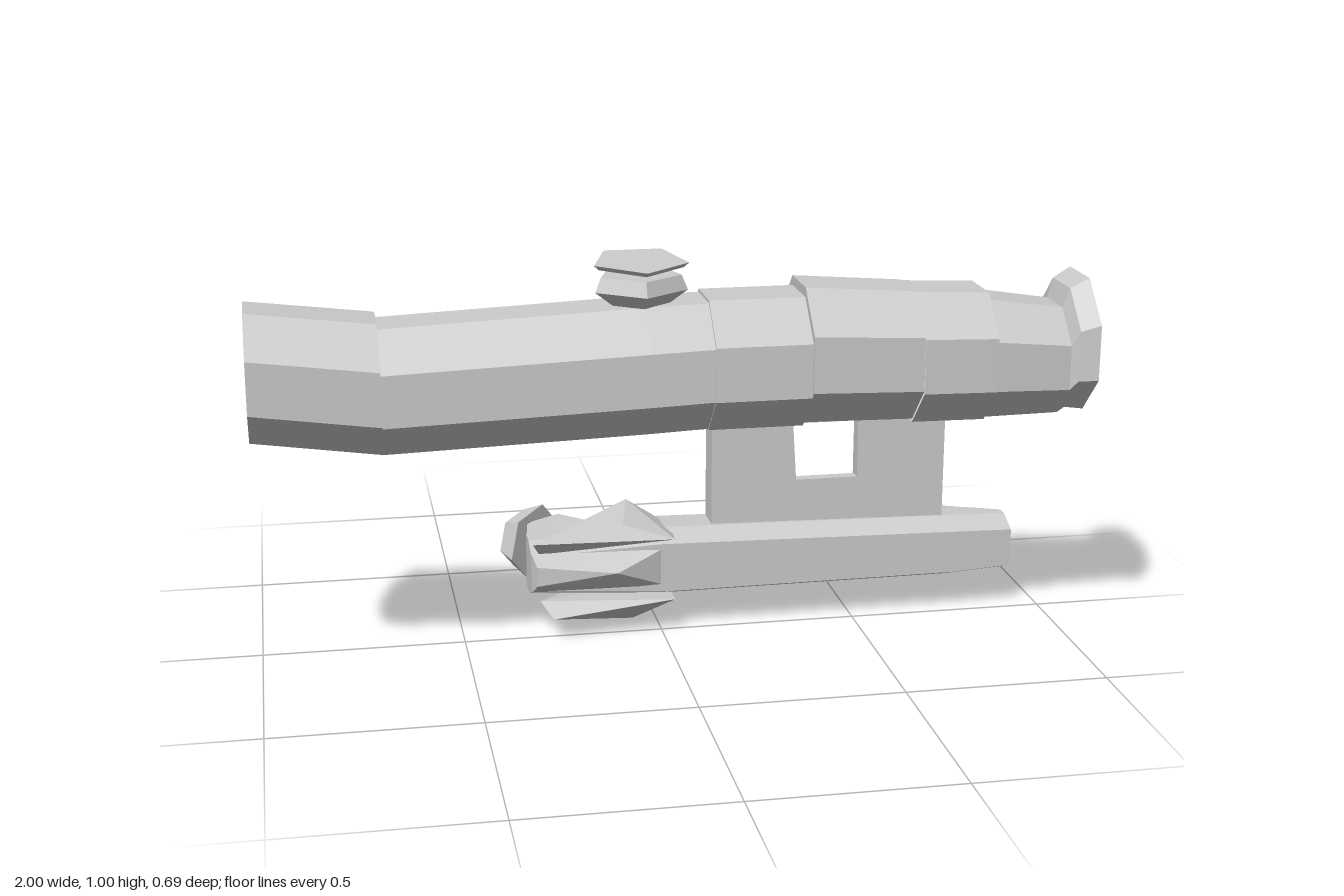
import * as THREE from 'three';
import { ConvexGeometry } from 'three/addons/geometries/ConvexGeometry.js';

const mat = new THREE.MeshStandardMaterial({ color: 0xcccccc, flatShading: true, side: THREE.DoubleSide });

export function createModel() {
  const group = new THREE.Group();

  const add = (name, geo) => {
    const mesh = new THREE.Mesh(geo, mat);
    mesh.name = name;
    group.add(mesh);
    return mesh;
  };
  const shapeOf = pts => new THREE.Shape(pts.map(p => new THREE.Vector2(p[0], p[1])));
  const extrude = (shape, depth) => new THREE.ExtrudeGeometry(shape, { depth, bevelEnabled: false });
  // [z, y] outline swept along x
  const alongX = (pts, x0, x1) =>
    extrude(shapeOf(pts.map(([z, y]) => [-z, y])), x1 - x0).rotateY(Math.PI / 2).translate(x0, 0, 0);
  const hull = pts => new ConvexGeometry(pts.map(p => new THREE.Vector3(...p)));

  // Open octagonal skin along x through sections [x, centreY, radius]
  const SIDES = 8, CZ = 0.176;
  const barrel = sections => {
    const pos = [], idx = [];
    for (const [x, cy, r] of sections) {
      for (let i = 0; i < SIDES; i++) {
        const a = (i + 0.5) / SIDES * Math.PI * 2;
        pos.push(x, cy + r * Math.cos(a), CZ + r * Math.sin(a));
      }
    }
    for (let s = 0; s < sections.length - 1; s++) {
      for (let i = 0; i < SIDES; i++) {
        const j = (i + 1) % SIDES;
        const a = s * SIDES + i, b = s * SIDES + j, c = a + SIDES, d = b + SIDES;
        idx.push(a, b, c, b, d, c);
      }
    }
    const geo = new THREE.BufferGeometry();
    geo.setAttribute('position', new THREE.Float32BufferAttribute(pos, 3));
    geo.setIndex(idx);
    const flat = geo.toNonIndexed();
    flat.computeVertexNormals();
    return flat;
  };

  // Sighting tube: objective, main tube, middle band, rear body, focus ring, neck, flared eyepiece
  add('objectiveBell', barrel([
    [-0.96, 0.77, 0.13], [-1, 0.77, 0.135], [-1, 0.77, 0.165], [-0.7, 0.73, 0.168], [-0.7, 0.723, 0.162],
  ]));
  add('mainTube', barrel([[-0.7, 0.723, 0.162], [-0.08, 0.745, 0.166], [0.07, 0.75, 0.165]]));
  add('middleBand', barrel([[0.07, 0.75, 0.165], [0.07, 0.752, 0.17], [0.3, 0.752, 0.17]]));
  add('rearBody', barrel([[0.3, 0.752, 0.17], [0.3, 0.768, 0.178], [0.57, 0.755, 0.17]]));
  add('focusRing', barrel([[0.57, 0.75, 0.173], [0.75, 0.745, 0.17], [0.75, 0.738, 0.158]]));
  add('neck', barrel([[0.75, 0.738, 0.158], [0.94, 0.724, 0.142]]));
  add('eyepiece', barrel([
    [0.94, 0.724, 0.142], [0.955, 0.755, 0.16], [1, 0.765, 0.176], [1, 0.765, 0.14], [0.965, 0.76, 0.13],
  ]));
  for (const [name, x, y] of [['frontLens', -0.96, 0.77], ['rearLens', 0.965, 0.76]]) {
    const lens = add(name, new THREE.CircleGeometry(0.13, SIDES, Math.PI / SIDES));
    lens.rotation.y = Math.sign(x) * Math.PI / 2;
    lens.position.set(x, y, CZ);
  }

  // Adjustment turrets: two-step knob with a separate thin cap
  const turret = (name, x, y, z, rotX, tilt) => {
    const t = new THREE.Group();
    t.name = name;
    const parts = [['Base', 0.115, 0.07, 0.035, -0.01], ['Knob', 0.1, 0.115, 0.035, 0.025], ['Cap', 0.118, 0.105, 0.012, 0.068]];
    for (const [part, top, bottom, h, at] of parts) {
      const mesh = new THREE.Mesh(new THREE.CylinderGeometry(top, bottom, h, 5, 1, part === 'Base'), mat);
      mesh.name = name + part;
      mesh.position.y = at;
      if (part === 'Cap') mesh.rotation.x = tilt;
      t.add(mesh);
    }
    t.position.set(x, y, z);
    t.rotation.x = rotX;
    group.add(t);
  };
  turret('topTurret', -0.085, 0.925, 0.18, 0, 0.06);
  turret('sideTurret', -0.075, 0.765, 0.025, -Math.PI / 2, 0);

  // Upright bracket plate, in two layers so that the window opens into a wider recess at the back
  const plate = (name, z, depth, x0, x1, y0, y1) => {
    const shape = shapeOf([[0.14, 0.235], [0.75, 0.235], [0.75, 0.575], [0.14, 0.575]]);
    shape.holes.push(new THREE.Path([
      new THREE.Vector2(x0 + 0.01, y0), new THREE.Vector2(x0, y1),
      new THREE.Vector2(x1, y1), new THREE.Vector2(x1, y0),
    ]));
    add(name, extrude(shape, depth).translate(0, 0, z));
  };
  plate('bracketFront', -0.09, 0.03, 0.35, 0.52, 0.36, 0.51);
  plate('bracketBack', -0.137, 0.047, 0.22, 0.53, 0.33, 0.52);

  // Shoulder bar, with a prong at each end cradling the tube
  add('bracketShoulder', alongX(
    [[-0.06, 0.575], [-0.138, 0.575], [-0.138, 0.6], [-0.1, 0.66], [-0.05, 0.705], [-0.045, 0.6]], 0.32, 0.57));
  for (const [x0, x1] of [[0.08, 0.32], [0.57, 0.75]]) {
    add('bracketProng', alongX(
      [[-0.06, 0.575], [-0.138, 0.575], [-0.138, 0.6], [-0.1, 0.66], [-0.05, 0.71], [0.03, 0.77], [0.06, 0.67], [0.13, 0.605]], x0, x1));
  }

  // Lower clamp rail with bevelled front edges, and its spur at the rear end
  const railEnd = (x, yBottom, yTop, zFront, zBack) => [
    [x, yBottom + 0.025, zFront], [x, yTop - 0.025, zFront],
    [x, yBottom, zFront - 0.06], [x, yTop, zFront - 0.06],
    [x, yBottom, zBack], [x, yTop, zBack],
  ];
  add('clampRail', hull([
    ...railEnd(-0.33, 0.1, 0.24, 0.005, -0.11), ...railEnd(0, 0.08, 0.257, 0.01, -0.14),
    ...railEnd(0.76, 0.082, 0.242, 0.005, -0.14), ...railEnd(0.92, 0.09, 0.237, 0, -0.09),
  ]));
  add('railSpur', hull([
    [0.74, 0.1, -0.12], [0.74, 0.22, -0.12], [0.77, 0.19, -0.19], [0.77, 0.13, -0.18],
    [0.91, 0.11, -0.08], [0.91, 0.22, -0.08],
  ]));

  // Clamp jaws above, below and in front of the rail
  add('upperJaw', hull([
    [-0.33, 0.26, 0.04], [-0.31, 0.22, 0], [-0.1, 0.29, 0.01], [-0.07, 0.31, -0.13],
    [0.03, 0.25, 0.03], [0.04, 0.24, -0.12], [-0.12, 0.23, -0.12],
  ]));
  add('lowerJaw', hull([
    [-0.31, 0.1, 0.01], [-0.28, 0.06, 0.04], [-0.1, 0.01, -0.13], [-0.06, 0, -0.09],
    [0.03, 0.09, 0.03], [0.03, 0.09, -0.13], [-0.2, 0.08, -0.13],
  ]));
  add('frontJaw', hull([
    [-0.33, 0.225, 0], [-0.33, 0.12, 0], [-0.32, 0.2, 0.04], [-0.32, 0.15, 0.04],
    [-0.12, 0.18, 0.06], [0.02, 0.225, 0], [0.02, 0.115, 0],
  ]));

  // Locking lever reaching back, with a slanted end knob
  add('lever', hull([
    [-0.33, 0.11, -0.1], [-0.33, 0.23, -0.1], [-0.31, 0.09, -0.25], [-0.31, 0.22, -0.25],
    [-0.26, 0.09, -0.3], [-0.26, 0.17, -0.3], [-0.23, 0.24, -0.25], [-0.23, 0.1, -0.25],
    [-0.13, 0.07, -0.12], [-0.13, 0.25, -0.12],
  ]));
  const knob = add('leverKnob', new THREE.CylinderGeometry(0.075, 0.1, 0.06, 6));
  knob.position.set(-0.308, 0.163, -0.28);
  knob.quaternion.setFromUnitVectors(new THREE.Vector3(0, 1, 0), new THREE.Vector3(-0.68, 0, -0.73).normalize());

  return group;
}
